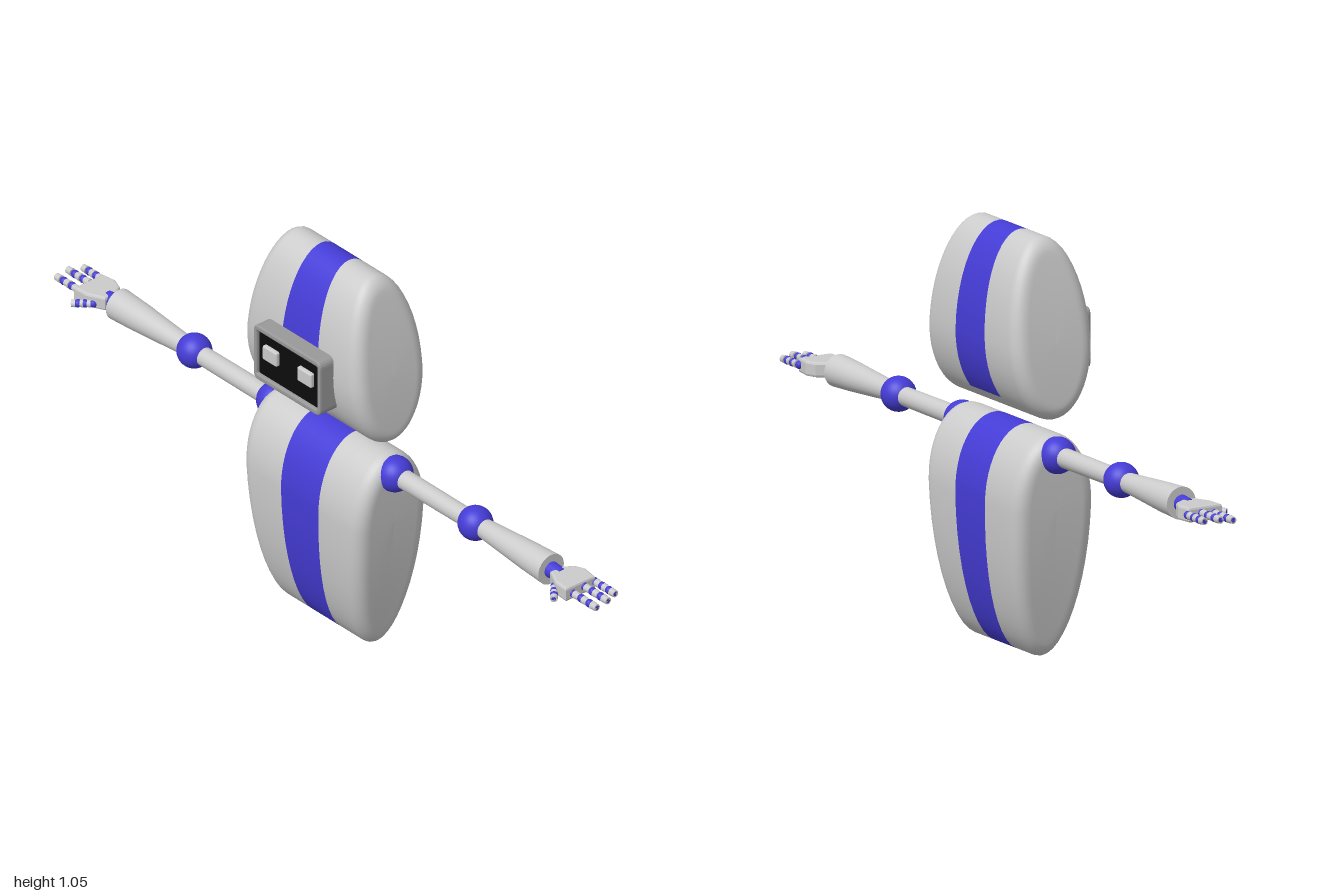
import * as THREE from 'three';
import { RoundedBoxGeometry } from 'three/addons/geometries/RoundedBoxGeometry.js';

const grey = new THREE.MeshStandardMaterial({ color: 0xcccccc });
const darkGrey = new THREE.MeshStandardMaterial({ color: 0x999999 });
const blue = new THREE.MeshStandardMaterial({ color: 0x453cd6 });
const black = new THREE.MeshStandardMaterial({ color: 0x0c0c0c });

const CZ = -0.02;       // depth centre of body and arms
const STRIPE = 0.315;   // stripe share of the half width
const ARM_Y = 0.517;

function add(parent, name, geometry, material, x = 0, y = 0, z = 0) {
  const mesh = new THREE.Mesh(geometry, material);
  mesh.name = name;
  mesh.position.set(x, y, z);
  parent.add(mesh);
  return mesh;
}

// Tapered round bar between two points
function rod(parent, name, a, b, ra, rb, material, sides = 20) {
  const from = new THREE.Vector3(...a), to = new THREE.Vector3(...b);
  const dir = to.clone().sub(from);
  const mesh = add(parent, name, new THREE.CylinderGeometry(rb, ra, dir.length(), sides), material);
  mesh.position.copy(from).addScaledVector(dir, 0.5);
  mesh.quaternion.setFromUnitVectors(new THREE.Vector3(0, 1, 0), dir.normalize());
  return mesh;
}

// Surface patch of an egg-profiled pod; a column is [share of width, edge inset, scale]
function podPatch(pod, columns, t0 = 0, t1 = 360) {
  const closed = t1 - t0 === 360;
  const steps = Math.round((t1 - t0) / 7.5);
  const rows = closed ? steps : steps + 1;
  const pos = [], index = [];
  for (const [u, inset, scale] of columns) {
    for (let j = 0; j < rows; j++) {
      const t = THREE.MathUtils.degToRad(t0 + (t1 - t0) * j / steps);
      const ry = Math.sin(t) > 0 ? pod.top - pod.mid : pod.mid - pod.bottom;
      const y = pod.mid + (ry - inset) * scale * Math.sin(t);
      const z = CZ + (0.113 - inset) * scale * Math.cos(t);
      // half width grows from the narrow end to the wide end
      let f = (y - pod.bottom) / (pod.top - pod.bottom);
      if (pod.wideBottom) f = 1 - f;
      pos.push(u * (0.165 + 0.061 * (1 - (1 - f) ** 2)), y, z);
    }
  }
  for (let i = 0; i < columns.length - 1; i++) {
    for (let j = 0; j < steps; j++) {
      const k = (j + 1) % rows;
      const a = i * rows + j, b = a + rows, c = i * rows + k, d = c + rows;
      index.push(a, b, c, b, d, c);
    }
  }
  const g = new THREE.BufferGeometry();
  g.setAttribute('position', new THREE.Float32BufferAttribute(pos, 3));
  g.setIndex(index);
  g.computeVertexNormals();
  return g;
}

// Columns from the stripe out over the rounded edge to the middle of the side cap
function sideColumns() {
  const cols = [[STRIPE, 0, 1], [0.6, 0, 1]];
  for (let k = 0; k <= 6; k++) {
    const a = k / 6 * Math.PI / 2;
    cols.push([0.83 + 0.17 * Math.sin(a), 0.035 * (1 - Math.cos(a)), 1]);
  }
  for (const s of [0.93, 0.65, 0.33, 0]) cols.push([1, 0.035, s]);
  return cols;
}

function addPod(parent, name, pod, stripeFrom, stripeTo) {
  const group = new THREE.Group();
  group.name = name;
  parent.add(group);
  const left = sideColumns();
  const right = left.map(([u, d, s]) => [-u, d, s]).reverse();
  const centre = [-STRIPE, 0, STRIPE].map(u => [u, 0, 1]);
  add(group, name + 'LeftShell', podPatch(pod, left), grey);
  add(group, name + 'RightShell', podPatch(pod, right), grey);
  add(group, name + 'Stripe', podPatch(pod, centre, stripeFrom, stripeTo), blue);
  if (stripeTo - stripeFrom < 360) {
    add(group, name + 'CentreShell', podPatch(pod, centre, stripeTo, stripeFrom + 360), grey);
  }
  return group;
}

// Rounded rectangle outline
function roundRect(path, w, h, r) {
  path.moveTo(-w + r, -h);
  path.lineTo(w - r, -h).quadraticCurveTo(w, -h, w, -h + r);
  path.lineTo(w, h - r).quadraticCurveTo(w, h, w - r, h);
  path.lineTo(-w + r, h).quadraticCurveTo(-w, h, -w, h - r);
  path.lineTo(-w, -h + r).quadraticCurveTo(-w, -h, -w + r, -h);
  return path;
}

function addFace(parent) {
  const group = new THREE.Group();
  group.name = 'face';
  group.position.set(0, 0.77, 0);
  parent.add(group);
  const frame = roundRect(new THREE.Shape(), 0.12, 0.073, 0.015);
  frame.holes.push(roundRect(new THREE.Path(), 0.116, 0.066, 0.01));
  add(group, 'faceFrame', new THREE.ExtrudeGeometry(frame, {
    depth: 0.07, bevelThickness: 0.004, bevelSize: 0.004, bevelSegments: 2, curveSegments: 5,
  }), darkGrey, 0, 0, 0.061);
  add(group, 'screen', new THREE.BoxGeometry(0.234, 0.134, 0.055), black, 0, 0, 0.0975);
  for (const s of [-1, 1]) {
    add(group, 'eye', new RoundedBoxGeometry(0.053, 0.04, 0.02, 2, 0.005), grey, s * 0.064, 0.01, 0.126);
  }
}

function addHand(parent, s) {
  const group = new THREE.Group();
  group.name = 'hand';
  parent.add(group);
  rod(group, 'wrist', [s * 0.79, ARM_Y, CZ], [s * 0.84, ARM_Y, CZ], 0.022, 0.018, blue);

  // Palm: flat outline seen from above, narrow at the wrist
  const outline = [[0.829, 0.01], [0.845, 0.035], [0.87, 0.045], [0.905, 0.04], [0.905, -0.042],
    [0.87, -0.04], [0.829, -0.02]];
  const shape = new THREE.Shape(outline.map(([x, y]) => new THREE.Vector2(s * x, y + 0.02)));
  const palm = new THREE.ExtrudeGeometry(shape, {
    depth: 0.026, bevelThickness: 0.006, bevelSize: 0.006, bevelSegments: 2,
  });
  palm.rotateX(-Math.PI / 2);
  add(group, 'palm', palm, grey, 0, ARM_Y - 0.016, 0);

  // Digits: blue knuckles with grey segments between them
  const digit = (name, from, to) => {
    const a = new THREE.Vector3(...from), b = new THREE.Vector3(...to);
    const at = t => a.clone().lerp(b, t).toArray();
    rod(group, name + 'Core', from, to, 0.007, 0.006, blue, 10);
    for (const t of [0.08, 0.42, 0.72]) {
      add(group, name + 'Knuckle', new THREE.SphereGeometry(0.0105, 12, 8), blue, ...at(t));
    }
    for (const [t0, t1] of [[0.18, 0.36], [0.5, 0.66], [0.82, 1]]) {
      rod(group, name + 'Segment', at(t0), at(t1), 0.0105, 0.009, grey, 12);
    }
  };
  [[-0.066, 0.985, 0.515], [-0.03, 1, 0.517], [0.006, 1, 0.512]].forEach(([z, tip, y]) => {
    digit('finger', [s * 0.9, y, z], [s * tip, y, z]);
  });
  digit('thumb', [s * 0.85, 0.508, 0.012], [s * 0.893, 0.505, 0.052]);
}

function addArm(parent, s) {
  const group = new THREE.Group();
  group.name = s > 0 ? 'leftArm' : 'rightArm';
  parent.add(group);
  const p = x => [s * x, ARM_Y, CZ];
  add(group, 'shoulder', new THREE.SphereGeometry(0.046, 28, 18), blue, ...p(0.222));
  rod(group, 'upperArm', p(0.24), p(0.5), 0.025, 0.024, grey, 28);
  add(group, 'elbow', new THREE.SphereGeometry(0.044, 28, 18), blue, ...p(0.52));
  rod(group, 'forearm', p(0.54), p(0.72), 0.024, 0.037, grey, 28);
  rod(group, 'cuff', p(0.72), p(0.8), 0.037, 0.041, grey, 28);
  addHand(group, s);
}

export function createModel() {
  const model = new THREE.Group();
  model.name = 'robot';
  addPod(model, 'torso', { bottom: 0, mid: 0.38, top: 0.566 }, 0, 360);
  const head = addPod(model, 'head', { bottom: 0.6, mid: 0.79, top: 1.048, wideBottom: true }, 0, 232.5);
  addFace(head);
  for (const s of [1, -1]) addArm(model, s);
  return model;
}
